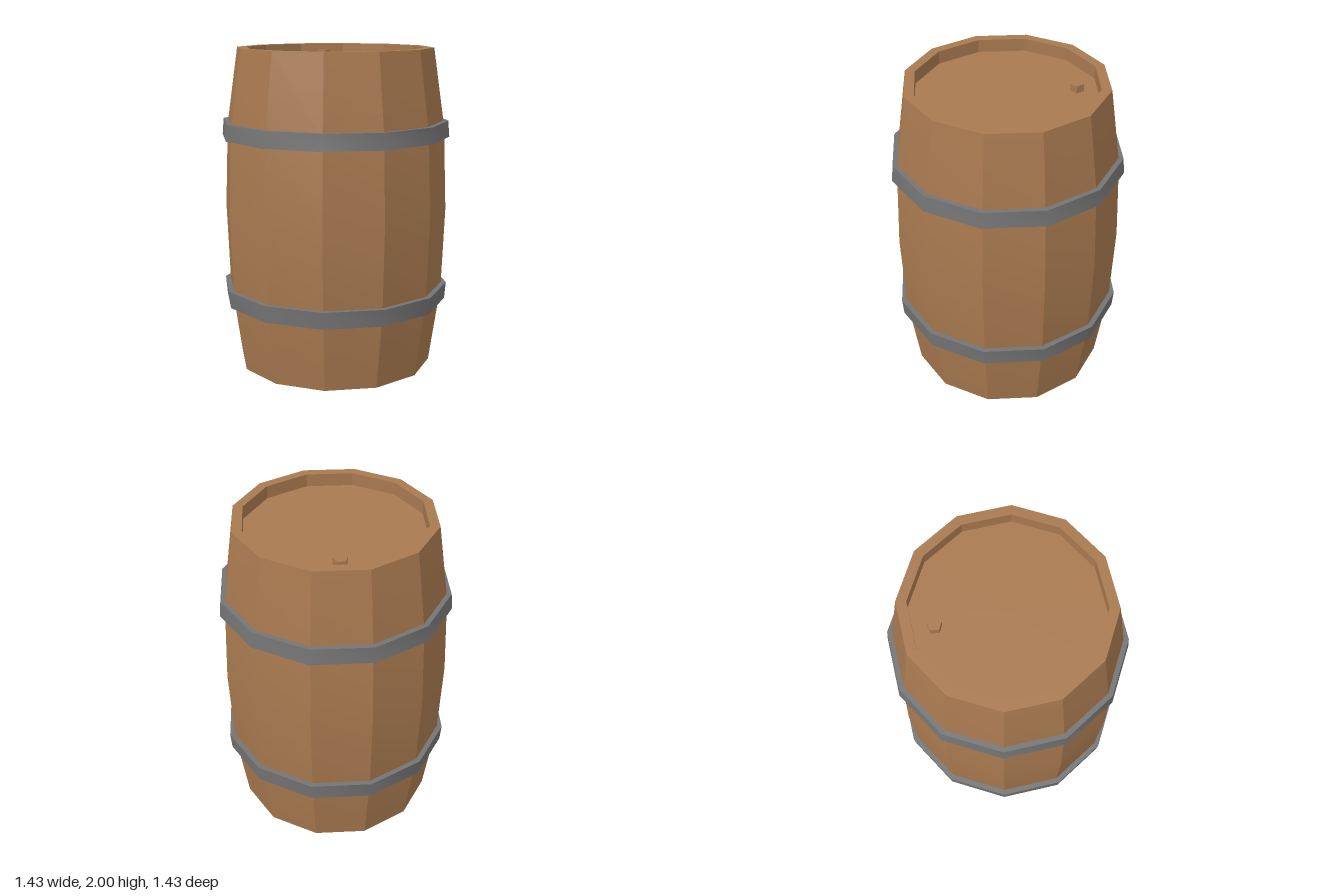
import * as THREE from 'three';
import { toCreasedNormals } from 'three/addons/utils/BufferGeometryUtils.js';

const SIDES = 12;

// Twelve-sided turned part; edges bending more than the crease angle stay sharp
function turned(name, points, creaseDegrees, material) {
  const profile = points.map(([r, y]) => new THREE.Vector2(r, y));
  const geometry = toCreasedNormals(
    new THREE.LatheGeometry(profile, SIDES),
    THREE.MathUtils.degToRad(creaseDegrees)
  );
  const mesh = new THREE.Mesh(geometry, material);
  mesh.name = name;
  return mesh;
}

export function createModel() {
  const wood = new THREE.MeshStandardMaterial({ color: 0xa8794f });
  wood.name = 'wood';
  const iron = new THREE.MeshStandardMaterial({ color: 0x747474 });
  iron.name = 'iron';

  const barrel = new THREE.Group();
  barrel.name = 'barrel';

  // Staves with both recessed ends, flat around and smooth up the bulge
  barrel.add(turned('barrelBody', [
    [0, 0.08], [0.55, 0.08], [0.55, 0], [0.61, 0],
    [0.68, 0.48], [0.70, 1], [0.68, 1.52],
    [0.61, 2], [0.55, 2], [0.55, 1.92], [0, 1.92],
  ], 20, wood));

  // Hoops, slightly wider towards the middle of the barrel
  const hoop = (name, y0, y1, r0, r1) => barrel.add(turned(name, [
    [0.66, y0], [r0, y0], [r1, y1], [0.66, y1], [0.66, y0],
  ], 40, iron));
  hoop('lowerHoop', 0.415, 0.52, 0.705, 0.714);
  hoop('upperHoop', 1.455, 1.555, 0.714, 0.705);

  // Five-sided bung standing on the lid
  const bungGeometry = new THREE.CylinderGeometry(0.043, 0.043, 0.06, 5, 1, false, Math.PI)
    .toNonIndexed();
  bungGeometry.computeVertexNormals();
  const bung = new THREE.Mesh(bungGeometry, wood);
  bung.name = 'bung';
  bung.position.set(0.285, 1.935, -0.295);
  barrel.add(bung);

  return barrel;
}
